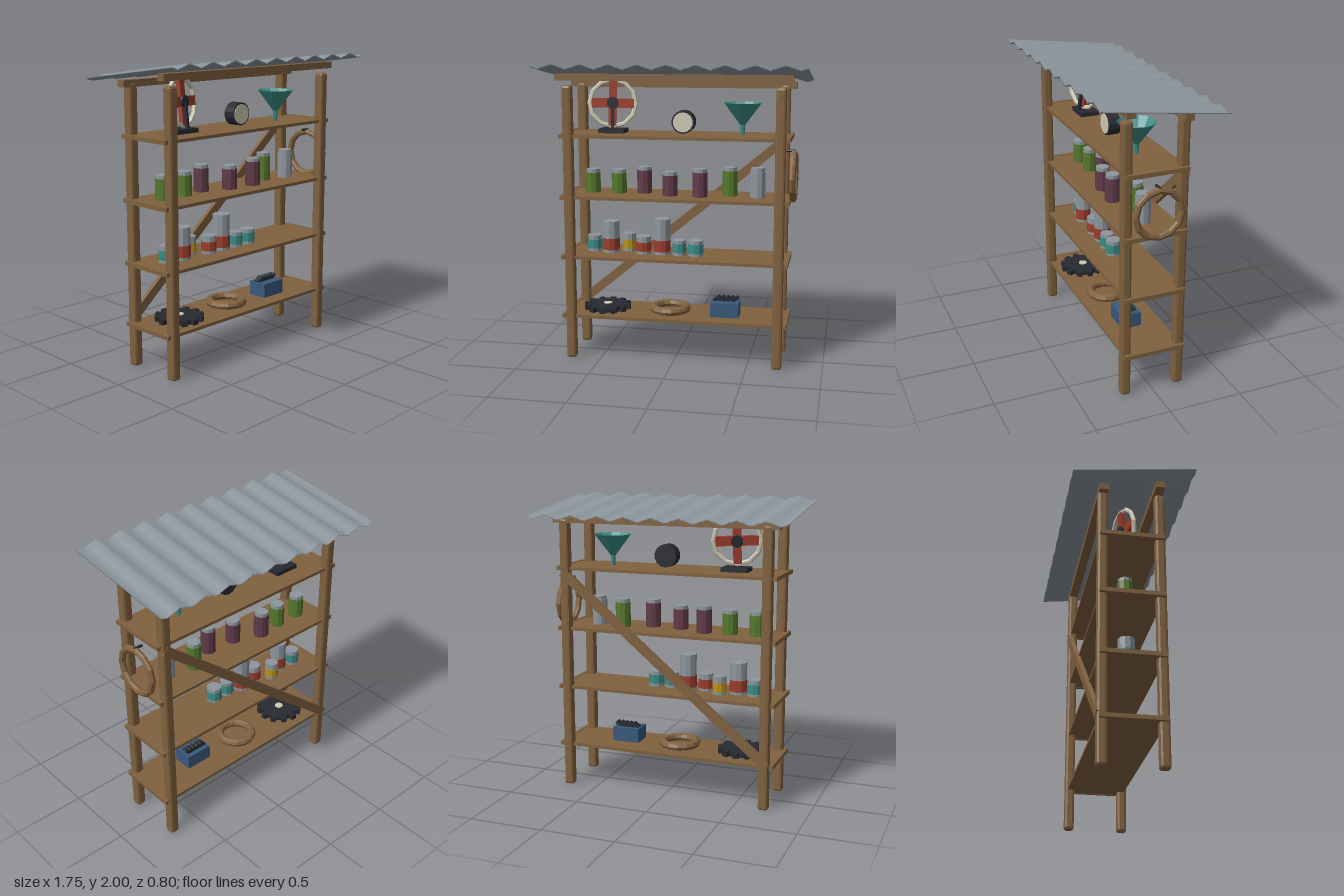
import * as THREE from 'three';
import { mergeVertices } from 'three/addons/utils/BufferGeometryUtils.js';
import { RoundedBoxGeometry } from 'three/addons/geometries/RoundedBoxGeometry.js';

const mat = (name, color, extra = {}) => {
  const m = new THREE.MeshStandardMaterial({ color, flatShading: true, ...extra });
  m.name = name;
  return m;
};

export function createModel() {
  const model = new THREE.Group();
  model.name = 'storageRack';
  const wood = mat('wood', 0x80613f);
  const metal = mat('metal', 0x8d969e, { flatShading: false });
  const red = mat('red', 0x9c3d2c);
  const teal = mat('teal', 0x3a8a85, { side: THREE.DoubleSide });
  const green = mat('green', 0x55782c);
  const maroon = mat('maroon', 0x603a48);
  const yellow = mat('yellow', 0xb8921f);
  const blue = mat('blue', 0x38597c);
  const dark = mat('dark', 0x282a32);
  const cream = mat('cream', 0xcfcab4);

  const add = (name, geo, material, x = 0, y = 0, z = 0, parent = model) => {
    const mesh = new THREE.Mesh(geo, material);
    mesh.name = name;
    mesh.position.set(x, y, z);
    parent.add(mesh);
    return mesh;
  };
  const group = (name, x, y, z) => {
    const g = new THREE.Group();
    g.name = name;
    g.position.set(x, y, z);
    model.add(g);
    return g;
  };
  const box = (w, h, d) => new THREE.BoxGeometry(w, h, d);
  // flat-sided cylinder; the shared metal is smooth, so facets come from split vertices
  const cyl = (top, bottom, h, sides = 10, open = false) => {
    const g = new THREE.CylinderGeometry(top, bottom, h, sides, 1, open).toNonIndexed();
    g.computeVertexNormals();
    return g;
  };

  // Posts with chamfered edges
  for (const x of [-0.7, 0.7]) for (const z of [-0.185, 0.185])
    add('post', new RoundedBoxGeometry(0.066, 1.855, 0.066, 1, 0.016), wood, x, 0.9275, z);

  // Shelves with end battens
  for (const y of [0.293, 0.702, 1.11, 1.52]) {
    add('shelf', box(1.5, 0.02, 0.4), wood, 0, y, 0);
    for (const x of [-0.75, 0.75]) add('shelfBatten', box(0.022, 0.027, 0.41), wood, x, y, 0);
  }

  // Roof beams and rear diagonal brace
  add('frontBeam', box(1.55, 0.044, 0.06), wood, 0, 1.907, 0.185);
  add('backBeam', box(1.55, 0.044, 0.06), wood, 0, 1.848, -0.185);
  const brace = add('brace', box(1.86, 0.06, 0.03), wood, 0, 0.9, -0.206);
  brace.rotation.z = Math.atan2(1.115, 1.34);

  // Corrugated roof: thin slab, waved along x and sloped along z, one smooth skin
  let roof = new THREE.BoxGeometry(1.75, 0.006, 0.8, 38, 1, 1);
  roof.deleteAttribute('uv');
  roof.deleteAttribute('normal');
  roof = mergeVertices(roof);
  const p = roof.attributes.position;
  for (let i = 0; i < p.count; i++) {
    const wave = -0.015 * Math.sin(((p.getX(i) + 0.875) / 1.75) * 19 * Math.PI);
    p.setY(i, p.getY(i) + wave + p.getZ(i) * 0.132);
  }
  roof.computeVertexNormals();
  add('corrugatedRoof', roof, metal, 0, 1.928, 0);

  // Hand wheel on a small stand
  add('wheelBase', box(0.175, 0.028, 0.13), dark, -0.44, 1.545, -0.005);
  const wheel = group('handWheel', -0.44, 1.728, 0);
  wheel.rotation.set(-0.12, 0.28, 0);
  add('wheelRim', new THREE.TorusGeometry(0.155, 0.015, 6, 12), cream, 0, 0, 0, wheel);
  add('wheelSpoke', box(0.28, 0.062, 0.03), red, 0, 0, 0, wheel);
  add('wheelSpoke', box(0.055, 0.3, 0.028), red, 0, 0, 0, wheel);
  add('wheelHub', cyl(0.04, 0.04, 0.06), dark, 0, 0, 0, wheel).rotation.x = Math.PI / 2;
  add('wheelStem', box(0.022, 0.18, 0.02), dark, 0, -0.09, 0.024, wheel);

  // Round gauge
  const gauge = group('gauge', 0.045, 1.612, 0.01);
  gauge.rotation.x = Math.PI / 2;
  add('gaugeCase', cyl(0.077, 0.077, 0.08, 14), dark, 0, 0, 0, gauge);
  add('gaugeFace', cyl(0.066, 0.066, 0.008, 14), cream, 0, 0.041, 0, gauge);

  // Funnel
  const funnel = group('funnel', 0.434, 0, 0);
  add('funnelCone', cyl(0.124, 0.018, 0.142, 12, true), teal, 0, 1.671, 0, funnel);
  add('funnelSpout', cyl(0.018, 0.013, 0.07, 8, true), teal, 0, 1.566, 0, funnel);

  // Preserve jars: x, z, top, colour
  const jars = [
    [-0.59, -0.02, 1.28, green], [-0.407, -0.02, 1.28, green], [-0.235, -0.045, 1.3, maroon],
    [-0.045, 0.03, 1.28, maroon], [0.16, 0.045, 1.307, maroon], [0.35, -0.035, 1.312, green],
    [0.54, 0, 1.317, metal],
  ];
  for (const [x, z, top, colour] of jars) {
    const h = top - 0.024 - 1.12;
    add('jar', cyl(0.051, 0.051, h), colour, x, 1.12 + h / 2, z);
    add('jarLid', cyl(0.046, 0.046, 0.026), metal, x, top - 0.013, z);
  }

  // Tin cans with a painted band: x, z, top, radius, band colour
  const cans = [
    [-0.58, -0.01, 0.822, 0.048, teal], [-0.46, 0.01, 0.927, 0.056, red],
    [-0.345, -0.045, 0.836, 0.045, yellow], [-0.23, 0.02, 0.832, 0.05, red],
    [-0.105, 0.01, 0.955, 0.057, red], [0.017, 0.025, 0.815, 0.046, teal],
    [0.13, 0.025, 0.817, 0.051, teal],
  ];
  for (const [x, z, top, r, colour] of cans) {
    const h = top - 0.712, band = h > 0.15 ? 0.078 : 0.062;
    add('can', cyl(r, r, h), metal, x, 0.712 + h / 2, z);
    add('canBand', cyl(r + 0.002, r + 0.002, band), colour, x, 0.731 + band / 2, z);
  }

  // Cog wheel lying flat
  const cog = group('cogWheel', -0.49, 0.326, 0.01);
  add('cogDisc', cyl(0.13, 0.13, 0.034, 24), dark, 0, 0, 0, cog);
  for (let i = 0; i < 12; i++) {
    const a = (i / 12) * Math.PI * 2;
    const tooth = add('cogTooth', box(0.045, 0.034, 0.038), dark, Math.cos(a) * 0.138, 0, -Math.sin(a) * 0.138, cog);
    tooth.rotation.y = a;
  }
  add('cogHub', cyl(0.03, 0.03, 0.008), cream, 0, 0.018, 0, cog);

  // Rope coils: one on the shelf, one hanging from a peg on the left side
  add('ropeCoil', new THREE.TorusGeometry(0.115, 0.028, 8, 14), wood, -0.05, 0.331, 0).rotation.x = Math.PI / 2;
  add('hangingCoil', new THREE.TorusGeometry(0.153, 0.022, 8, 12), wood, 0.775, 1.267, 0).rotation.y = Math.PI / 2;
  add('peg', cyl(0.009, 0.009, 0.06, 8), dark, 0.755, 1.435, 0).rotation.z = Math.PI / 2;

  // Tool box with a row of slanted tools on the lid
  add('toolBox', box(0.19, 0.098, 0.138), blue, 0.336, 0.352, 0.02);
  for (let i = 0; i < 5; i++) {
    const tool = add('tool', box(0.05, 0.02, 0.045), dark, 0.276 + i * 0.031, 0.414, 0.005);
    tool.rotation.z = 0.6;
  }
  return model;
}
